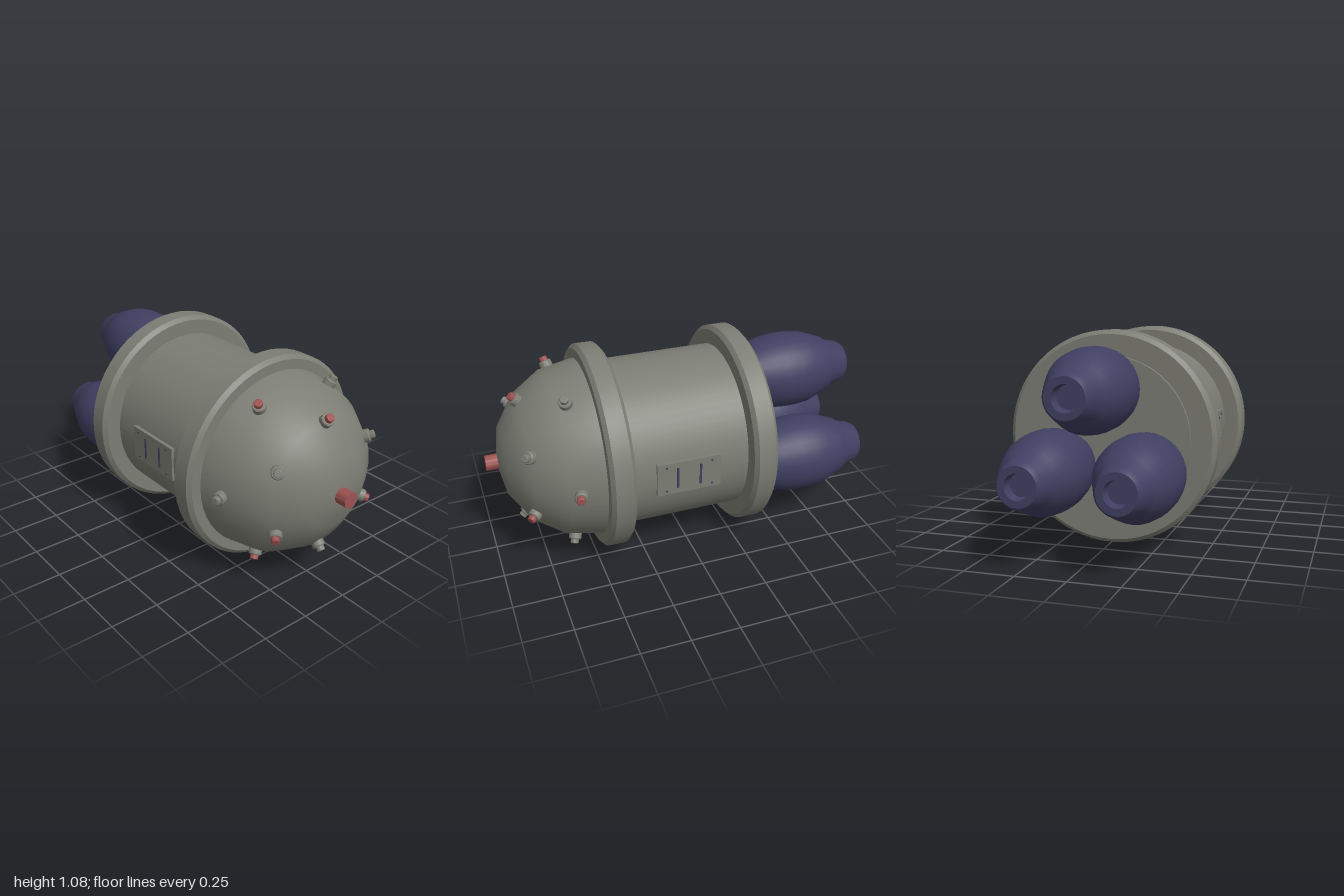
import * as THREE from 'three';
import { toCreasedNormals } from 'three/addons/utils/BufferGeometryUtils.js';

const AXIS_Y = 0.538;      // height of the body's long axis
const DOME_R = 0.467;
const DOME_Z = 0.48;       // centre of the nose dome

const mat = (name, color) => Object.assign(new THREE.MeshStandardMaterial({ color }), { name });

export function createModel() {
  const grey = mat('hull grey', 0x7c7d73);
  const navy = mat('engine navy', 0x403f62);
  const red = mat('lamp red', 0x9c5150);

  const model = new THREE.Group();
  model.name = 'capsule';
  const craft = new THREE.Group();
  craft.name = 'craft';
  craft.position.y = AXIS_Y;
  model.add(craft);

  const add = (parent, name, geometry, material, x = 0, y = 0, z = 0) => {
    const mesh = new THREE.Mesh(geometry, material);
    mesh.name = name;
    mesh.position.set(x, y, z);
    parent.add(mesh);
    return mesh;
  };

  // Solid of revolution about z from [radius, z] pairs, running from back to front
  const turned = (points, sides) => {
    const g = new THREE.LatheGeometry(points.map(([r, z]) => new THREE.Vector2(r, z)), sides);
    return toCreasedNormals(g.rotateX(Math.PI / 2), 0.6);
  };

  // Body barrel and rear plate
  add(craft, 'body', turned([[0, -0.39], [0.44, -0.39], [0.44, 0.46], [0, 0.46]], 64), grey);
  add(craft, 'rearPlate', turned([[0, -0.412], [0.413, -0.412], [0.413, -0.38]], 64), grey);

  // Chamfered collars at both ends of the barrel
  const collar = turned([
    [0.4, -0.064], [0.517, -0.064], [0.538, -0.045],
    [0.538, 0.045], [0.517, 0.064], [0.4, 0.064],
  ], 64);
  add(craft, 'frontCollar', collar, grey, 0, 0, 0.416);
  add(craft, 'rearCollar', collar, grey, 0, 0, -0.327);

  // Nose dome
  const domeProfile = [];
  for (let i = 0; i <= 4; i++) {
    const a = (i / 4) * Math.PI / 2;
    domeProfile.push([DOME_R * Math.cos(a), DOME_Z + DOME_R * Math.sin(a)]);
  }
  add(craft, 'noseDome', turned(domeProfile, 48), grey);

  // Nose lamp
  add(craft, 'noseLamp', turned([[0.04, 0.92], [0.04, 1], [0, 1]], 24), red);

  // Two staggered circles of studs, alternately tipped red and grey
  const base = turned([[0.033, -0.04], [0.033, 0.022], [0.028, 0.027], [0, 0.027]], 20);
  const tip = turned([[0.021, 0.02], [0.021, 0.047], [0.017, 0.05], [0, 0.05]], 16);
  const addStud = (name, around, elevation, tipMaterial) => {
    const stud = new THREE.Group();
    stud.name = name;
    const dir = new THREE.Vector3(
      Math.cos(around) * Math.cos(elevation),
      Math.sin(around) * Math.cos(elevation),
      Math.sin(elevation));
    stud.position.copy(dir).multiplyScalar(DOME_R - 0.003);
    stud.position.z += DOME_Z;
    stud.quaternion.setFromUnitVectors(new THREE.Vector3(0, 0, 1), dir);
    add(stud, 'studBase', base, grey);
    add(stud, 'studTip', tip, tipMaterial);
    craft.add(stud);
  };
  for (let i = 0; i < 6; i++) {
    const a = i * Math.PI / 3;
    addStud('outerStud', a, 0.28, i % 2 ? grey : red);
    addStud('innerStud', a + Math.PI / 2, Math.PI / 4, i % 2 ? grey : red);
  }

  // Three engine pods with hollow nozzles
  const pod = turned([
    [0, -0.95], [0.055, -0.95], [0.062, -1], [0.096, -1], [0.113, -0.975],
    [0.127, -0.91], [0.15, -0.88], [0.195, -0.76], [0.204, -0.68],
    [0.204, -0.6], [0.195, -0.53], [0.158, -0.41], [0, -0.41],
  ], 32);
  for (let i = 0; i < 3; i++) {
    const a = Math.PI / 2 + i * Math.PI * 2 / 3;
    add(craft, 'enginePod', pod, navy, 0.265 * Math.cos(a), 0.265 * Math.sin(a), 0);
  }

  // Side panels with two slots and four screws each
  const panel = new THREE.BoxGeometry(0.04, 0.178, 0.335);
  const slot = new THREE.BoxGeometry(0.006, 0.115, 0.011);
  const screw = new THREE.CylinderGeometry(0.005, 0.005, 0.008, 10).rotateZ(Math.PI / 2);
  for (const side of [1, -1]) {
    const group = new THREE.Group();
    group.name = side > 0 ? 'leftPanel' : 'rightPanel';
    group.position.z = 0.06;
    craft.add(group);
    add(group, 'panelPlate', panel, grey, side * 0.43);
    for (const s of [1, -1]) {
      add(group, 'panelSlot', slot, navy, side * 0.451, 0, s * 0.06);
      for (const t of [1, -1]) {
        add(group, 'panelScrew', screw, navy, side * 0.451, t * 0.068, s * 0.12);
      }
    }
  }

  return model;
}
